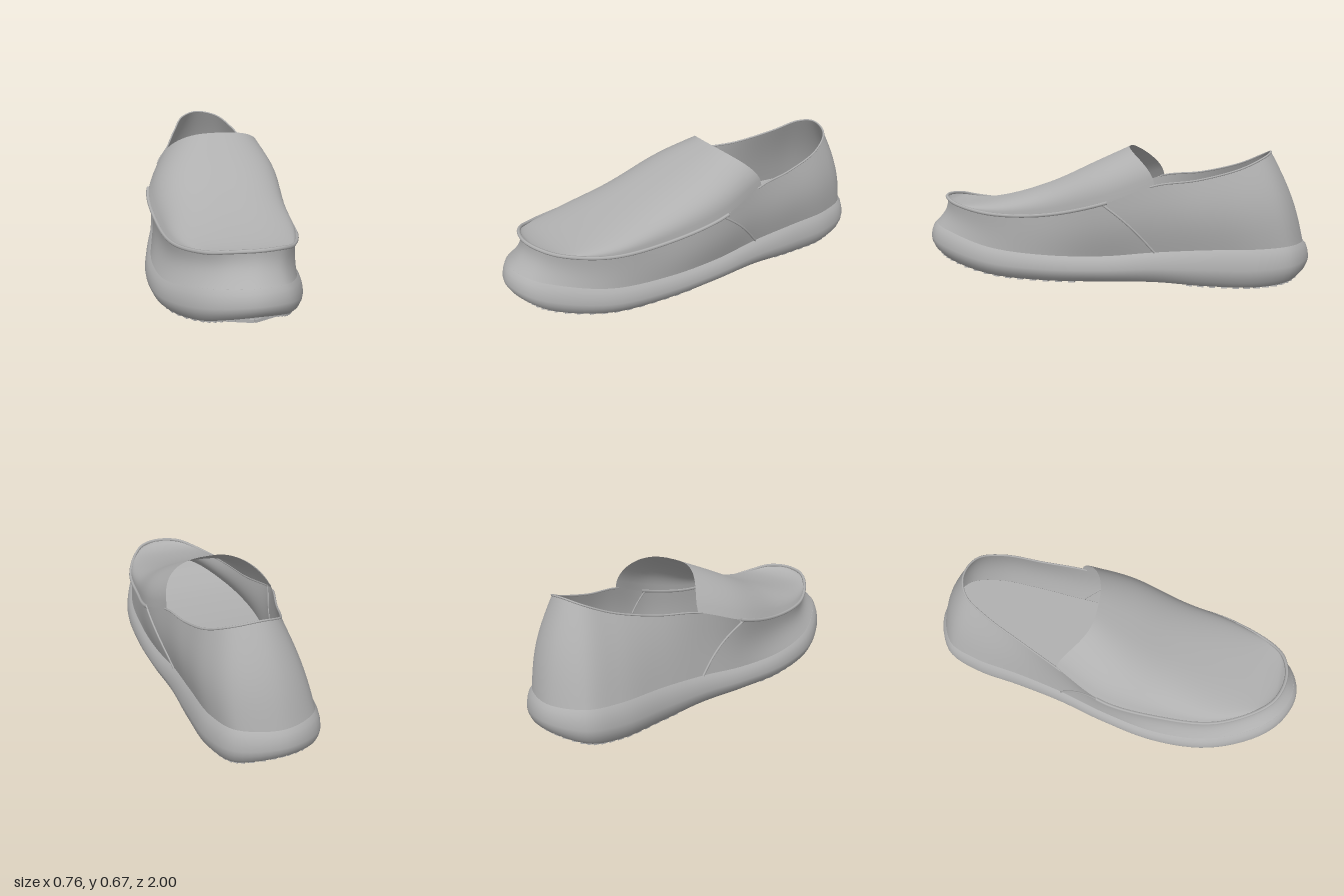
import * as THREE from 'three';
import { mergeVertices } from 'three/addons/utils/BufferGeometryUtils.js';

// Outline stations, toe to heel: z, right edge x, left edge x, sole bottom y, sole top y
const SOLE = [
  [1, 0, 0, .128, .26], [.955, -.14, .14, .108, .25], [.85, -.25, .225, .07, .225],
  [.6, -.358, .315, .021, .165], [.3, -.38, .345, .007, .14], [0, -.335, .35, .013, .145],
  [-.25, -.278, .34, .017, .17], [-.5, -.237, .345, .007, .19], [-.75, -.205, .338, .01, .2],
  [-.92, -.138, .272, .034, .21], [-1, .06, .06, .062, .21],
];
// Top edge of the upper, same stations: z, right edge x, left edge x, y
const RIM = [
  [.895, .02, .02, .398], [.865, -.1, .125, .39], [.79, -.178, .195, .365], [.58, -.283, .285, .333],
  [.3, -.317, .325, .34], [0, -.315, .365, .405], [-.25, -.222, .338, .495],
  [-.45, -.14, .32, .522], [-.65, -.06, .29, .575], [-.765, .008, .22, .628], [-.8, .1, .1, .65],
];
// Ridge of the vamp: y, z
const RIDGE = new THREE.CatmullRomCurve3([
  [.39, .89], [.375, .865], [.365, .78], [.4, .57], [.48, .32], [.59, .08], [.672, -.1],
].map(([y, z]) => new THREE.Vector3(0, y, z)));

// Closed loop through the stations: toe, left side, heel, right side
function ring(rows, yCol) {
  const left = rows.map(r => new THREE.Vector3(r[2], r[yCol], r[0]));
  const right = rows.slice(1, -1).reverse().map(r => new THREE.Vector3(r[1], r[yCol], r[0]));
  return new THREE.CatmullRomCurve3([...left, ...right], true);
}
const bottomRing = ring(SOLE, 3), topRing = ring(SOLE, 4), rimRing = ring(RIM, 3);
const wrap = u => ((u % 1) + 1) % 1;

// Point on the sole edge, moved inward by inset, at height fraction f
function solePoint(u, inset, f) {
  u = wrap(u);
  const p = bottomRing.getPoint(u), t = topRing.getTangent(u);
  const len = Math.hypot(t.x, t.z) || 1;
  p.y += (topRing.getPoint(u).y - p.y) * f;
  p.x += t.z / len * inset;
  p.z -= t.x / len * inset;
  return p;
}

// Point on the side wall of the upper, v from sole to rim; hollow at the toe, full at the heel
function wallPoint(u, v, lift = 0) {
  u = wrap(u);
  const p = solePoint(u, .03, .98).lerp(rimRing.getPoint(u), v);
  const out = solePoint(u, -1, 0).sub(solePoint(u, 0, 0));
  const bulge = .012 * Math.sin(2 * Math.PI * u) - .022 * Math.cos(2 * Math.PI * u);
  return p.addScaledVector(out, bulge * Math.sin(Math.PI * v) + lift);
}

// Smooth surface from a function of u and v
function surface(f, nu, nv) {
  const pos = [], index = [];
  for (let j = 0; j <= nv; j++)
    for (let i = 0; i <= nu; i++) pos.push(...f(i / nu, j / nv).toArray());
  for (let j = 0; j < nv; j++)
    for (let i = 0; i < nu; i++) {
      const a = j * (nu + 1) + i, c = a + nu + 1;
      index.push(a, a + 1, c, a + 1, c + 1, c);
    }
  let g = new THREE.BufferGeometry();
  g.setAttribute('position', new THREE.Float32BufferAttribute(pos, 3));
  g.setIndex(index);
  g = mergeVertices(g, 1e-4);
  g.computeVertexNormals();
  return g;
}

export function createModel() {
  const model = new THREE.Group();
  const grey = new THREE.MeshStandardMaterial({ color: 0xb0b0b0, side: THREE.DoubleSide });
  grey.name = 'grey';
  const add = (name, geometry, parent = model) => {
    const m = new THREE.Mesh(geometry, grey);
    m.name = name;
    parent.add(m);
    return m;
  };
  const tube = (name, points, r) =>
    add(name, new THREE.TubeGeometry(new THREE.CatmullRomCurve3(points), points.length * 2, r, 6));

  // Rounded side of the sole
  const layers = [[.055, 0], [.035, .015], [.015, .15], [.003, .33], [0, .48], [.005, .68], [.015, .87], [.032, 1]];
  add('soleSide', surface((u, v) => {
    const [inset, f] = layers[Math.round(v * (layers.length - 1))];
    return solePoint(u, inset, f);
  }, 120, layers.length - 1));

  // Flat underside and footbed, spanning side to side
  const span = (inset, f) => (u, v) =>
    solePoint(1 - v / 2, inset, f).lerp(solePoint(v / 2, inset, f), u);
  const under = span(.055, 0);
  add('soleUnderside', surface((u, v) => under(1 - u, v), 6, 60));
  add('footbed', surface(span(.032, 1), 6, 60));

  // Side wall running round toe, quarters and heel
  add('upperWall', surface((u, v) => wallPoint(u, v), 120, 10));

  // Vamp arching from rim to rim: boxy top, right shoulder leaning in, swept-back throat
  add('vamp', surface((u, v) => {
    const s = v * .3, a = Math.PI * u;
    const r = rimRing.getPoint(wrap(1 - s)), l = rimRing.getPoint(s), top = RIDGE.getPoint(v);
    const c = Math.cos(a), sin = Math.max(Math.sin(a), 0);
    const k = .5 - .5 * Math.sign(c) * Math.pow(Math.abs(c), .75);
    const p = r.clone().lerp(l, k);
    const rise = (top.y - p.y) * Math.pow(sin, .67);
    p.y += rise;
    p.x += .45 * rise * (1 - k) * Math.max(c, 0) ** .5;
    p.z += (top.z - p.z) * Math.pow(sin, 1.2);
    return p;
  }, 32, 40));

  // Raised moccasin lip and thin collar binding
  const along = (a, b, n, f) => Array.from({ length: n + 1 }, (_, i) => f(a + (b - a) * i / n));
  tube('toeLip', along(-.255, .255, 50, u => wallPoint(u, 1, .004)), .009);
  tube('collarBinding', along(.295, .705, 40, u => wallPoint(u, 1)), .005);

  // Slanted quarter seams
  for (const side of [1, -1])
    tube('quarterSeam', along(0, 1, 10, k => wallPoint(side * (.25 + .05 * k), 1 - k, .002)), .006);

  // Tread: edge lugs and chevron bars under the ball and the heel
  const tread = new THREE.Group();
  tread.name = 'tread';
  model.add(tread);
  const bar = (name, p, q, width) => {
    const m = add(name, new THREE.BoxGeometry(width, .014, p.distanceTo(q)), tread);
    m.position.copy(p).lerp(q, .5);
    m.lookAt(q);
  };
  const hasTread = z => z > .1 || z < -.38;
  for (let i = 0; i < 90; i++) {
    const u = i / 90;
    if (hasTread(solePoint(u, 0, 0).z)) bar('edgeLug', solePoint(u, .04, .01), solePoint(u, .09, 0), .03);
  }
  for (let v = .14; v < .92; v += .026) {
    const mid = under(.5, v);
    if (!hasTread(mid.z)) continue;
    mid.z += .04;
    bar('chevronBar', under(.12, v), mid, .022);
    bar('chevronBar', mid, under(.88, v), .022);
  }
  return model;
}
